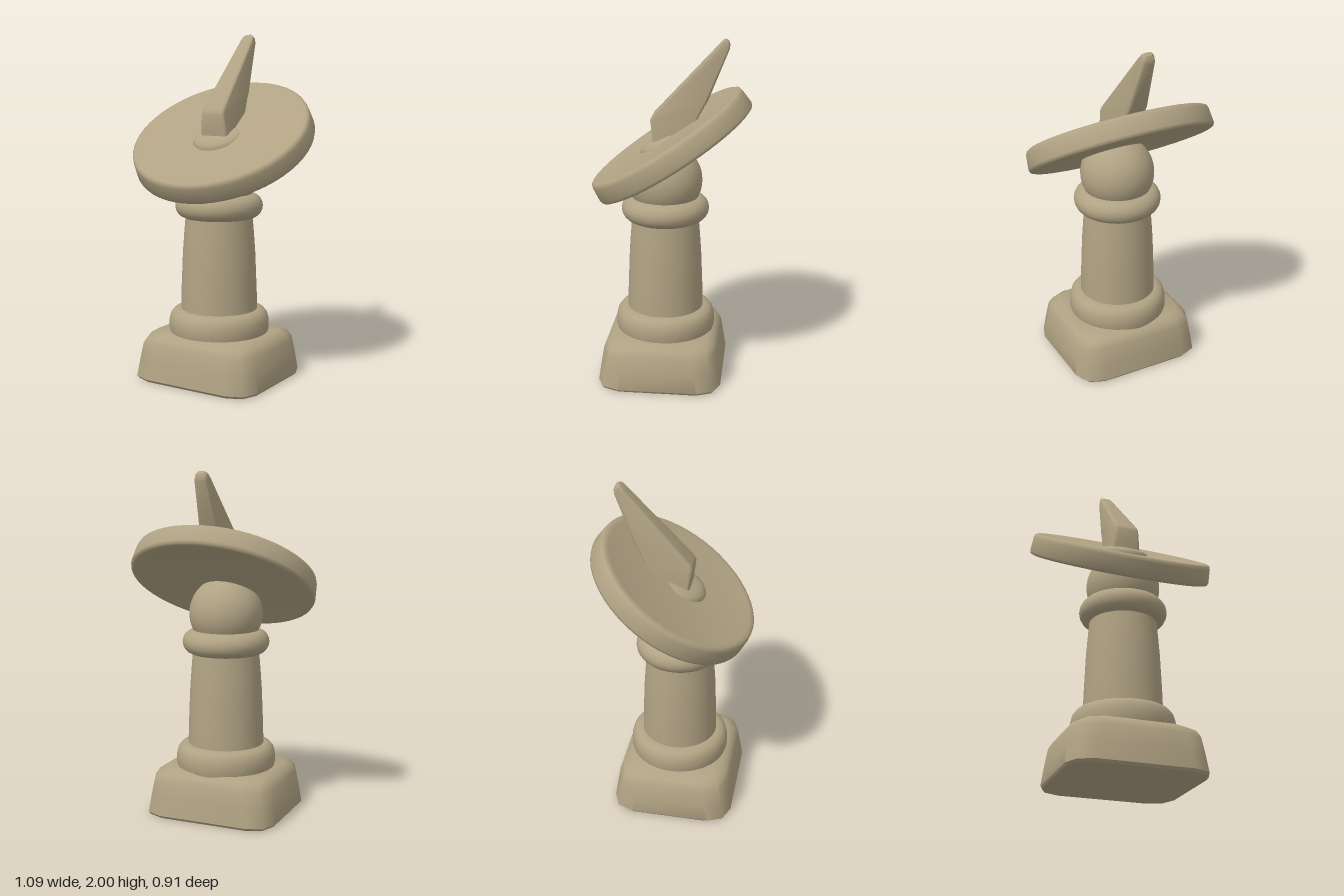
import * as THREE from 'three';
import { toCreasedNormals } from 'three/addons/utils/BufferGeometryUtils.js';

const AXIS_Z = 0.033; // the pedestal stands slightly forward of centre

// Rectangle ring with rounded corners between a front and a back edge [z, y];
// w and wBack are the half widths, steps the facets per corner
function ring(front, back, w, r, wBack = w, steps = 4) {
  const half = Math.hypot(front[0] - back[0], front[1] - back[1]) / 2;
  const mid = [(front[0] + back[0]) / 2, (front[1] + back[1]) / 2];
  const dir = [(front[0] - mid[0]) / half, (front[1] - mid[1]) / half];
  const pts = [];
  for (let c = 0; c < 4; c++) {
    const sx = c === 0 || c === 3 ? 1 : -1;
    const sv = c < 2 ? -1 : 1;
    const hw = c < 2 ? wBack : w;
    for (let k = 0; k <= steps; k++) {
      const a = (c + k / steps) * Math.PI / 2;
      const x = sx * (hw - r) + r * Math.cos(a);
      const v = sv * (half - r) - r * Math.sin(a);
      pts.push([x, mid[1] + dir[1] * v, mid[0] + dir[0] * v]);
    }
  }
  return pts;
}

// Skin a stack of rings, bottom to top, and close both ends
function loft(rings, crease) {
  const n = rings[0].length;
  const pos = rings.flat(2);
  const idx = [];
  for (let j = 0; j < rings.length - 1; j++) {
    for (let i = 0; i < n; i++) {
      const a = j * n + i, b = j * n + (i + 1) % n;
      idx.push(a, b, b + n, a, b + n, a + n);
    }
  }
  const top = (rings.length - 1) * n;
  for (let i = 1; i < n - 1; i++) {
    idx.push(0, i + 1, i);
    idx.push(top, top + i, top + i + 1);
  }
  const geo = new THREE.BufferGeometry();
  geo.setAttribute('position', new THREE.Float32BufferAttribute(pos, 3));
  geo.setIndex(idx);
  return toCreasedNormals(geo, crease);
}

function lathe(profile, crease = 0.9) {
  const pts = profile.map(([r, y]) => new THREE.Vector2(r, y));
  return toCreasedNormals(new THREE.LatheGeometry(pts, 56), crease);
}

// Profile of a ring moulding with a rounded outer edge
function moulding(inner, outer, y0, y1) {
  const h = (y1 - y0) / 2, pts = [[inner, y0]];
  for (let k = 0; k <= 10; k++) {
    const a = -Math.PI / 2 + (k / 10) * Math.PI;
    pts.push([outer - h + h * Math.cos(a), y0 + h + h * Math.sin(a)]);
  }
  pts.push([inner, y1]);
  return pts;
}

export function createModel() {
  const model = new THREE.Group();
  model.name = 'sundial';
  const stone = new THREE.MeshStandardMaterial({ color: 0xb0a283 });
  stone.name = 'sandstone';

  const add = (name, geo, parent = model) => {
    const mesh = new THREE.Mesh(geo, stone);
    mesh.name = name;
    parent.add(mesh);
    return mesh;
  };

  // Tapered square plinth with softened corners: [y, half width, half depth, corner]
  const levels = [
    [0, 0.388, 0.348, 0.125], [0.015, 0.4, 0.36, 0.13], [0.12, 0.387, 0.345, 0.13],
    [0.215, 0.372, 0.33, 0.13], [0.25, 0.352, 0.315, 0.13], [0.274, 0.315, 0.28, 0.12],
  ];
  const cz = 0.04;
  add('plinth', loft(levels.map(([y, w, d, r]) => ring([cz + d, y], [cz - d, y], w, r, w, 2)), 0.8));

  // Round pedestal parts
  const pedestal = new THREE.Group();
  pedestal.name = 'pedestal';
  pedestal.position.z = AXIS_Z;
  model.add(pedestal);
  add('footRing', lathe([
    [0.285, 0.26], [0.293, 0.29], [0.293, 0.34], [0.284, 0.375], [0.266, 0.398], [0.238, 0.408], [0.15, 0.408],
  ]), pedestal);
  add('shaft', lathe([
    [0.224, 0.39], [0.222, 0.5], [0.217, 0.62], [0.212, 0.74], [0.204, 0.85], [0.194, 0.97],
  ]), pedestal);
  add('collar', lathe(moulding(0.15, 0.255, 0.945, 1.088)), pedestal);
  const ball = add('ball', new THREE.SphereGeometry(0.215, 40, 28), pedestal);
  ball.position.y = 1.182;

  // Tilted oval dial: crisp, slightly flared wall and a shallow sunken face
  const dial = new THREE.Group();
  dial.name = 'dial';
  dial.position.set(0, 1.397, 0.003);
  dial.rotation.x = THREE.MathUtils.degToRad(33);
  model.add(dial);
  const plate = add('dialPlate', lathe([
    [0, -0.048], [0.42, -0.05], [0.46, -0.062], [0.495, -0.066], [0.51, -0.06], [0.515, -0.045],
    [0.508, 0.035], [0.503, 0.053], [0.49, 0.061], [0.465, 0.059], [0.43, 0.05], [0, 0.047],
  ]), dial);
  plate.scale.x = 1.062;
  // Low boss under the pointer, raised towards the front
  const boss = add('boss', lathe([
    [0.158, 0], [0.156, 0.03], [0.142, 0.048], [0.115, 0.059], [0.08, 0.064], [0, 0.065],
  ]), dial);
  boss.position.z = 0.022;
  boss.rotation.x = -0.17;

  // Slanted pointer, narrower at the back and tapering to a blunt tip
  add('pointer', loft([
    ring([0.09, 1.34], [-0.12, 1.46], 0.087, 0.02, 0.078),
    ring([0.1, 1.45], [-0.16, 1.565], 0.085, 0.02, 0.07),
    ring([0.113, 1.545], [-0.195, 1.63], 0.075, 0.02, 0.062),
    ring([0.1, 1.572], [-0.213, 1.66], 0.072, 0.02, 0.06),
    ring([-0.265, 1.965], [-0.327, 1.945], 0.042, 0.015, 0.037),
    ring([-0.29, 1.992], [-0.328, 1.97], 0.035, 0.012, 0.032),
    ring([-0.302, 2.0], [-0.322, 1.988], 0.02, 0.008),
  ], 0.6));

  return model;
}
